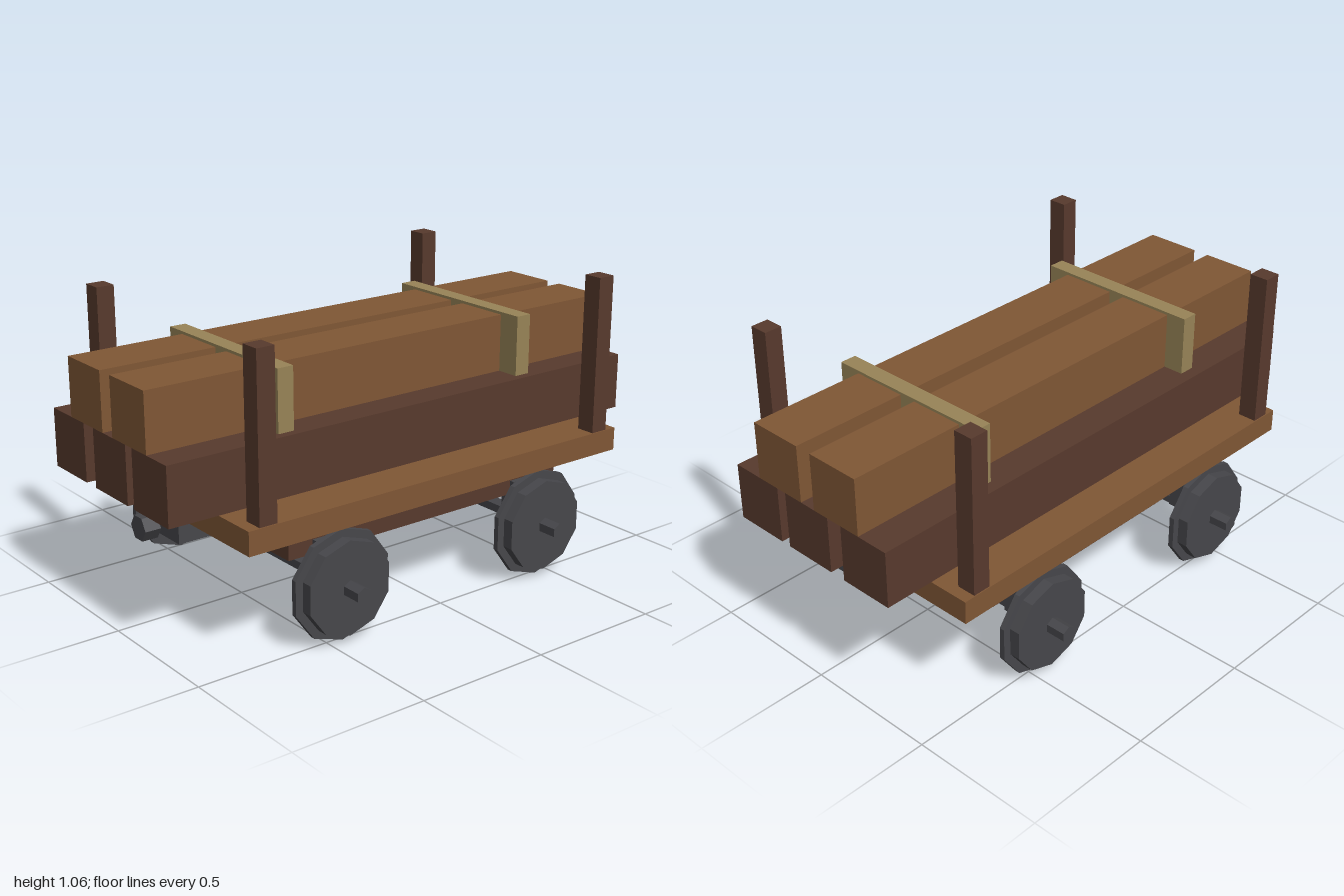
import * as THREE from 'three';

const mat = (name, color) => {
  const m = new THREE.MeshStandardMaterial({ color, flatShading: true });
  m.name = name;
  return m;
};

export function createModel() {
  const darkWood = mat('darkWood', 0x583a2d);
  const lightWood = mat('lightWood', 0x805735);
  const strapTan = mat('strapTan', 0x988457);
  const iron = mat('iron', 0x47474b);

  const model = new THREE.Group();
  model.name = 'timberWagon';

  const add = (name, geometry, material, x, y, z) => {
    const mesh = new THREE.Mesh(geometry, material);
    mesh.name = name;
    mesh.position.set(x, y, z);
    model.add(mesh);
  };
  // Box given by its limits on each axis
  const box = (name, material, [x0, x1], [y0, y1], [z0, z1]) =>
    add(name, new THREE.BoxGeometry(x1 - x0, y1 - y0, z1 - z0), material,
      (x0 + x1) / 2, (y0 + y1) / 2, (z0 + z1) / 2);
  // Faceted cylinder lying along x or z
  const rod = (radius, length, sides, axis) => {
    const g = new THREE.CylinderGeometry(radius, radius, length, sides, 1, false, Math.PI / 2);
    return axis === 'x' ? g.rotateZ(Math.PI / 2) : g.rotateX(Math.PI / 2);
  };

  // Deck and underframe
  box('deck', lightWood, [-0.525, 0.525], [0.4, 0.485], [-0.815, 0.815]);
  box('underframe', darkWood, [-0.432, 0.432], [0.297, 0.4], [-0.6, 0.6]);

  // Corner stakes
  for (const sx of [-1, 1]) for (const sz of [-1, 1]) {
    add('cornerStake', new THREE.BoxGeometry(0.072, 0.58, 0.068), darkWood,
      sx * 0.485, 0.775, sz * 0.737);
  }

  // Stacked beams: three below, two above
  for (const x of [-0.267, 0.004, 0.252]) {
    add('lowerBeam', new THREE.BoxGeometry(0.208, 0.21, 2), darkWood, x, 0.59, 0);
  }
  for (const x of [-0.141, 0.133]) {
    add('upperBeam', new THREE.BoxGeometry(0.21, 0.212, 2), lightWood, x, 0.801, 0);
  }

  for (const s of [-1, 1]) {
    // Load straps
    add('strap', new THREE.BoxGeometry(0.65, 0.422, 0.062), strapTan, 0, 0.706, s * 0.526);

    // Coupler blocks
    add('couplerBlock', new THREE.BoxGeometry(0.234, 0.084, 0.21), iron, 0, 0.349, s * 0.715);

    // Wheel sets
    const z = s * 0.442;
    add('axle', rod(0.03, 1.26, 6, 'x'), iron, 0, 0.2, z);
    for (const side of [-1, 1]) {
      add('wheelFlange', rod(0.2, 0.02, 10, 'x'), iron, side * 0.505, 0.2, z);
      add('wheelTread', rod(0.17, 0.06, 10, 'x'), iron, side * 0.526, 0.2, z);
      add('axleBracket', new THREE.BoxGeometry(0.06, 0.14, 0.12), iron, side * 0.42, 0.278, z);
    }
  }

  // Coupler pins
  add('frontCouplerPin', rod(0.047, 0.06, 6, 'z'), iron, 0, 0.349, 0.875);
  add('backCouplerPin', rod(0.047, 0.06, 6, 'z'), iron, 0, 0.349, -0.81);

  return model;
}
